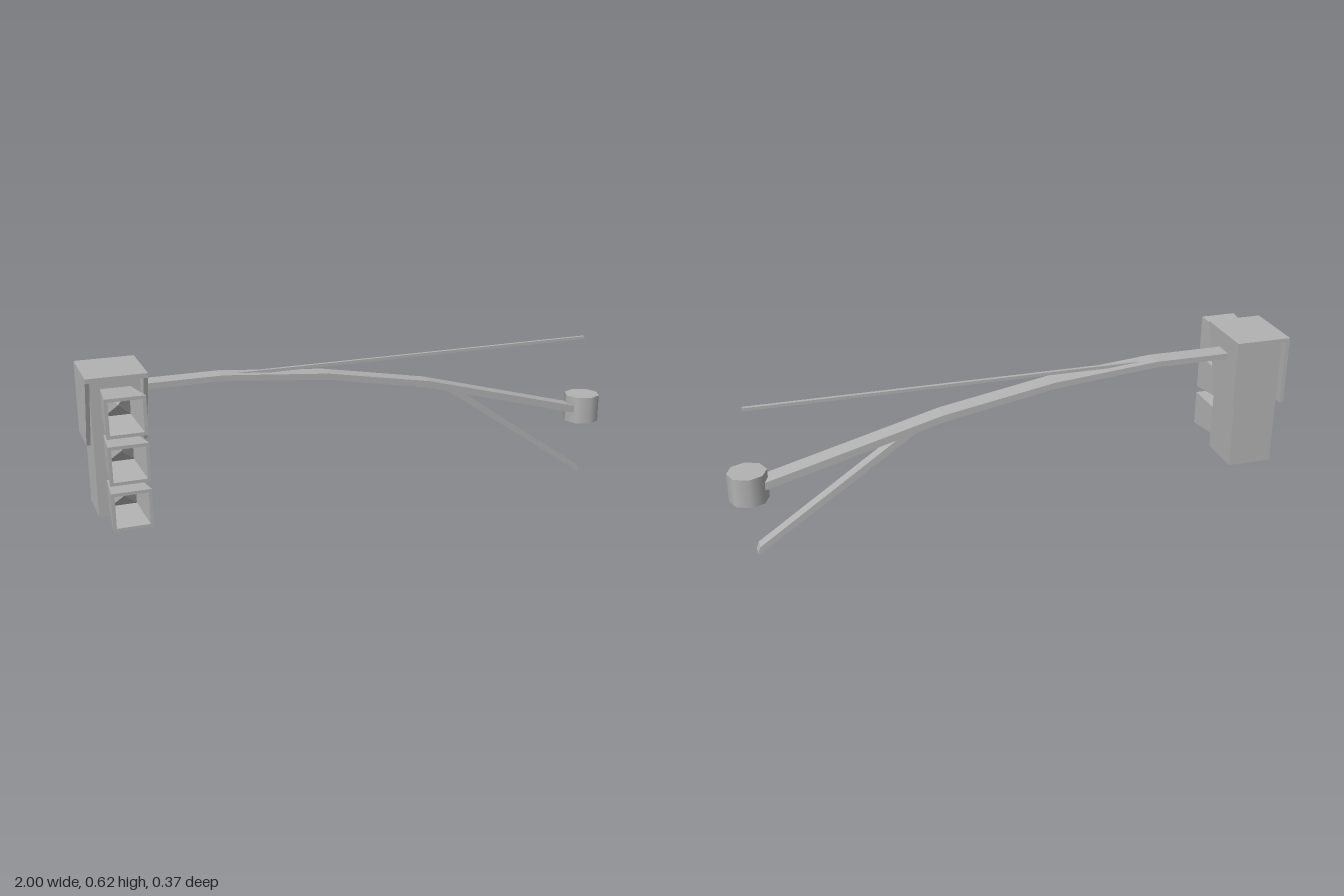
import * as THREE from 'three';

export function createModel() {
  const group = new THREE.Group();
  const grey = new THREE.MeshStandardMaterial({ color: 0xb2b2b2, side: THREE.DoubleSide });
  grey.name = 'grey metal';
  const headX = -0.898, armZ = -0.079;

  const add = (name, geometry, x = 0, y = 0, z = 0) => {
    const mesh = new THREE.Mesh(geometry, grey);
    mesh.name = name;
    mesh.position.set(x, y, z);
    group.add(mesh);
    return mesh;
  };
  // Flat outline in x and y, given a thickness centred on z = 0
  const slab = (points, depth) => {
    const shape = new THREE.Shape(points.map(([x, y]) => new THREE.Vector2(x, y)));
    return new THREE.ExtrudeGeometry(shape, { depth, bevelEnabled: false }).translate(0, 0, -depth / 2);
  };
  // Four-sided surface through square rings of [half width, z]
  const squareRings = (rings) => {
    const pts = rings.map(([h, z]) => new THREE.Vector2(h * Math.SQRT2, z));
    const geo = new THREE.LatheGeometry(pts, 4, Math.PI / 4).rotateX(Math.PI / 2).toNonIndexed();
    geo.computeVertexNormals();
    return geo;
  };

  // Signal housing
  add('housing', new THREE.BoxGeometry(0.166, 0.482, 0.169), headX, 0.364, -0.078);

  // Hood: a roof and two slanted side sheets, open at front and back
  add('hoodRoof', new THREE.BoxGeometry(0.203, 0.016, 0.24), headX, 0.612, -0.065);
  for (const side of [-1, 1]) {
    const sheet = slab([[-0.055, 0.62], [0.185, 0.62], [0.185, 0.369], [0.029, 0.369]], 0.014);
    sheet.rotateY(Math.PI / 2);
    add(side < 0 ? 'hoodRightSide' : 'hoodLeftSide', sheet, headX + side * 0.0945, 0, 0);
  }

  // Three lamps, each a flared square visor around a pointed lens
  for (const y of [0.204, 0.362, 0.52]) {
    add('visor', squareRings([
      [0.044, 0.012], [0.05, 0.012], [0.066, 0.186], [0.055, 0.186], [0.044, 0.012],
    ]), headX, y, 0);
    add('lens', squareRings([[0.04, 0.006], [0.049, 0.012], [0.044, 0.014], [0, 0.045]]), headX, y, 0);
  }

  // Bent mast arm
  add('arm', slab([
    [-0.83, 0.535], [-0.52, 0.535], [-0.14, 0.499], [0.25, 0.426], [0.88, 0.254],
    [0.885, 0.281], [0.26, 0.45], [-0.14, 0.522], [-0.52, 0.556], [-0.83, 0.556],
  ], 0.07), 0, 0, armZ);

  // Thin upper rod
  add('upperRod', new THREE.BoxGeometry(1.4, 0.011, 0.013), 0.225, 0.546, armZ);

  // Lower diagonal strut
  add('lowerStrut', slab([
    [0.315, 0.415], [0.92, 0], [0.925, 0.005], [0.915, 0.029], [0.37, 0.408],
  ], 0.042), 0, 0, armZ);

  // Collar at the end of the arm
  add('collar', new THREE.CylinderGeometry(0.068, 0.068, 0.104, 8), 0.932, 0.265, armZ);

  return group;
}
